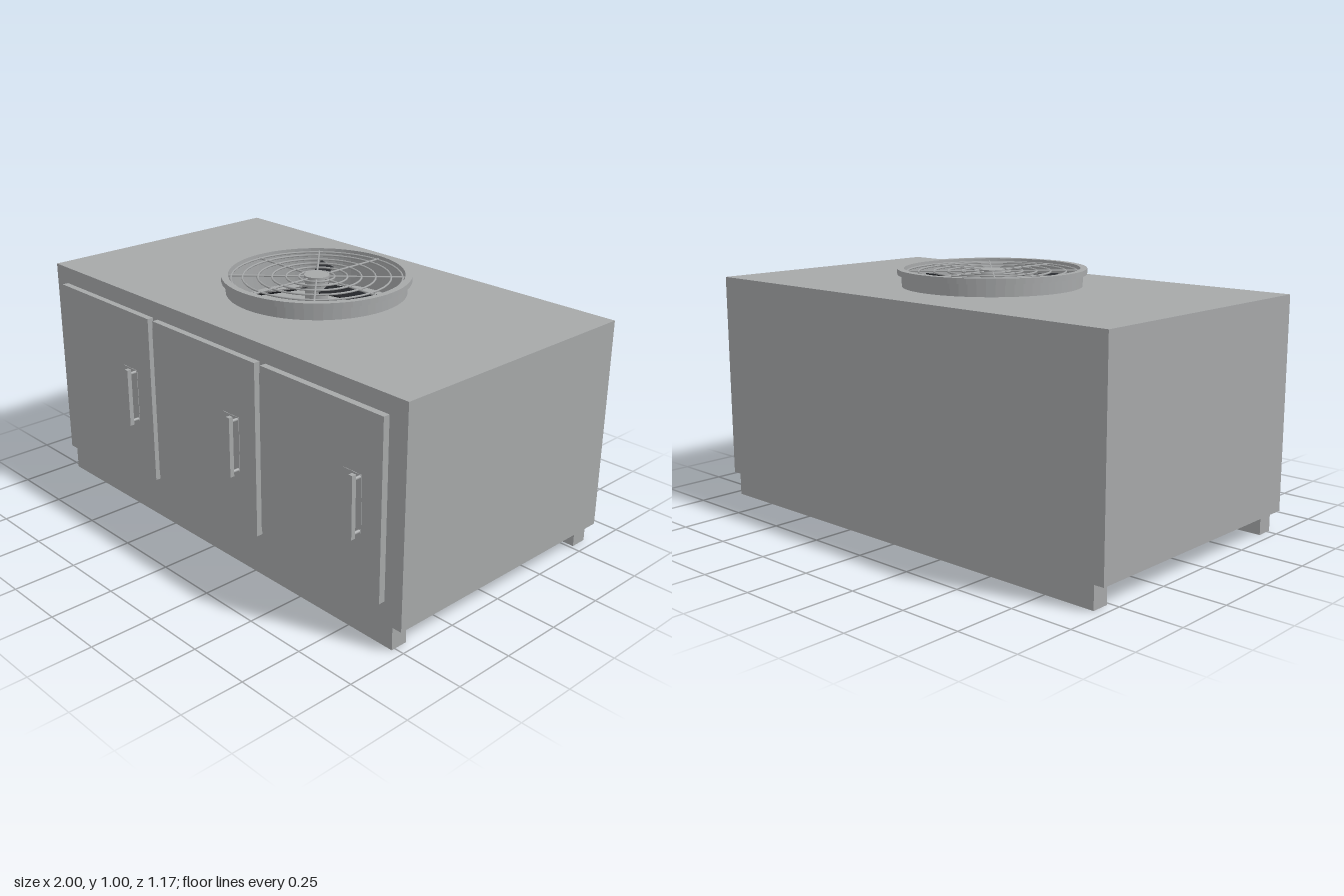
import * as THREE from 'three';

export function createModel() {
  const model = new THREE.Group();
  const grey = new THREE.MeshStandardMaterial({ color: 0xa6a8a9, side: THREE.DoubleSide });
  grey.name = 'galvanisedGrey';
  const dark = new THREE.MeshStandardMaterial({ color: 0x25272b, side: THREE.DoubleSide });
  dark.name = 'bladeCharcoal';

  const add = (parent, name, geo, mat, x = 0, y = 0, z = 0) => {
    const mesh = new THREE.Mesh(geo, mat);
    mesh.name = name;
    mesh.position.set(x, y, z);
    parent.add(mesh);
    return mesh;
  };
  const box = (parent, name, x0, x1, y0, y1, z0, z1) => add(parent, name,
    new THREE.BoxGeometry(x1 - x0, y1 - y0, z1 - z0), grey,
    (x0 + x1) / 2, (y0 + y1) / 2, (z0 + z1) / 2);

  const FAN_Z = -0.035, TOP = 0.93, BOTTOM = 0.09, WELL = 0.85;

  // Cabinet: extruded top-down outline with a round fan opening
  const outline = new THREE.Shape();
  outline.moveTo(-1, -0.515).lineTo(1, -0.515).lineTo(1, 0.585).lineTo(-1, 0.585).closePath();
  const opening = new THREE.Path();
  opening.absarc(0, -FAN_Z, 0.345, 0, Math.PI * 2, true);
  outline.holes.push(opening);
  const shell = new THREE.ExtrudeGeometry(outline, { depth: TOP - WELL, bevelEnabled: false, curveSegments: 32 });
  shell.rotateX(-Math.PI / 2);
  add(model, 'cabinetTop', shell, grey, 0, WELL, 0);
  box(model, 'cabinetBody', -1, 1, BOTTOM, WELL, -0.585, 0.515);

  // Base rails
  box(model, 'frontRail', -0.96, 0.96, 0, BOTTOM, 0.445, 0.515);
  box(model, 'backRail', -0.96, 0.96, 0, BOTTOM, -0.585, -0.515);

  // Three hinged doors with bar handles
  for (let i = 0; i < 3; i++) {
    const x = -0.925 + i * 0.625;
    const door = new THREE.Group();
    door.name = 'door' + (i + 1);
    model.add(door);
    box(door, 'doorPanel', x, x + 0.595, 0.175, 0.862, 0.515, 0.541);
    add(door, 'hinge', new THREE.CylinderGeometry(0.011, 0.011, 0.625, 12), grey, x - 0.002, 0.518, 0.528);
    const hx = x + 0.497;
    box(door, 'handleBar', hx - 0.009, hx + 0.009, 0.4, 0.637, 0.57, 0.588);
    for (const y of [0.415, 0.617]) {
      const post = add(door, 'handlePost', new THREE.CylinderGeometry(0.006, 0.006, 0.035, 10), grey, hx, y, 0.556);
      post.rotation.x = Math.PI / 2;
    }
    box(door, 'handlePlate', hx - 0.08, hx + 0.008, 0.41, 0.625, 0.541, 0.543);
  }

  // Fan housing
  const fan = new THREE.Group();
  fan.name = 'fan';
  fan.position.z = FAN_Z;
  model.add(fan);
  const ring = (name, inner, outer, y0, y1) => {
    const s = new THREE.Shape().absarc(0, 0, outer, 0, Math.PI * 2);
    s.holes.push(new THREE.Path().absarc(0, 0, inner, 0, Math.PI * 2, true));
    const g = new THREE.ExtrudeGeometry(s, { depth: y1 - y0, bevelEnabled: false, curveSegments: 32 });
    g.rotateX(-Math.PI / 2);
    add(fan, name, g, grey, 0, y0, 0);
  };
  ring('collar', 0.345, 0.355, TOP, 0.978);
  ring('rim', 0.345, 0.372, 0.978, 1);

  // Wire guard: concentric rings and radial spokes
  for (const r of [0.07, 0.12, 0.175, 0.23, 0.29, 0.335]) {
    const wire = add(fan, 'guardRing', new THREE.TorusGeometry(r, 0.004, 6, 40), grey, 0, 0.986, 0);
    wire.rotation.x = Math.PI / 2;
  }
  for (let i = 0; i < 8; i++) {
    const spoke = new THREE.CylinderGeometry(0.004, 0.004, 0.31, 6);
    spoke.rotateZ(Math.PI / 2).translate(0.195, 0, 0);
    add(fan, 'guardSpoke', spoke, grey, 0, 0.986, 0).rotation.y = i * Math.PI / 4;
  }
  add(fan, 'hubCap', new THREE.CylinderGeometry(0.05, 0.05, 0.012, 24), grey, 0, 0.988, 0);
  add(fan, 'motorHub', new THREE.CylinderGeometry(0.045, 0.045, 0.982 - WELL, 24), grey, 0, (0.982 + WELL) / 2, 0);

  // Three pitched blades, swept slightly along their length
  const blade = new THREE.BoxGeometry(0.26, 0.006, 0.058, 10, 1, 1);
  blade.rotateX(0.45).translate(0.17, 0, 0);
  const p = blade.attributes.position;
  for (let i = 0; i < p.count; i++) {
    const t = (p.getX(i) - 0.04) / 0.26;
    p.setZ(i, p.getZ(i) - 0.045 * Math.sin(t * Math.PI / 2));
  }
  blade.computeVertexNormals();
  for (let i = 0; i < 3; i++) {
    add(fan, 'blade', blade, dark, 0, 0.945, 0).rotation.y = i * Math.PI * 2 / 3;
  }
  return model;
}
